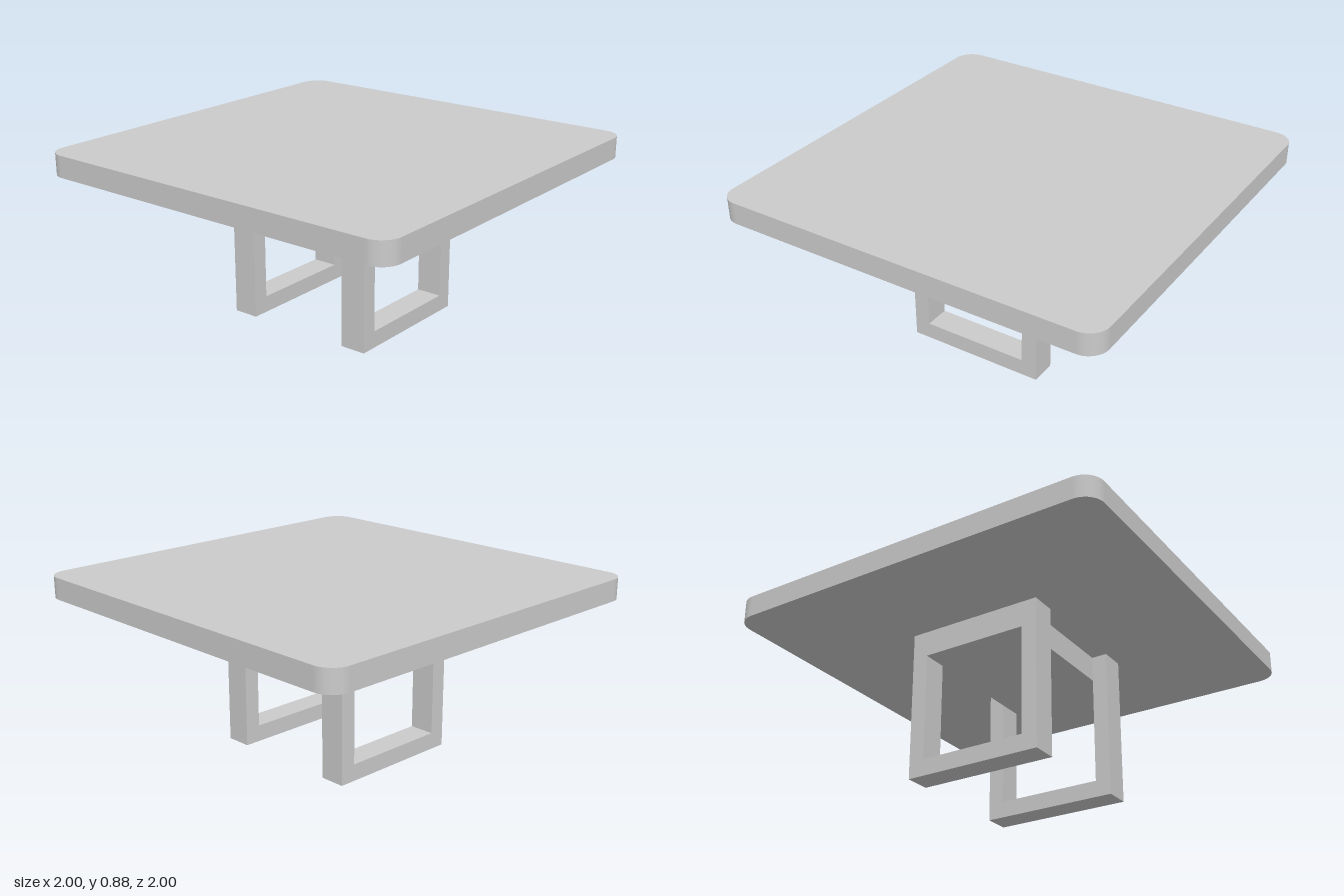
import * as THREE from 'three';

const TOP = 0.877, UNDER = 0.767;      // tabletop faces
const HALF = 0.356, HOLE = 0.275;      // leg frame half widths, outside and opening
const HOLE_LOW = 0.085, HOLE_HIGH = 0.635;
const Z_IN = 0.275, Z_OUT = 0.407;     // depth range of each leg frame

const material = new THREE.MeshStandardMaterial({ color: 0xcccccc, flatShading: true });

function addMesh(group, name, geometry) {
  const mesh = new THREE.Mesh(geometry, material);
  mesh.name = name;
  group.add(mesh);
  return mesh;
}

// Square outline with rounded corners, centred on the origin
function roundedSquare(h, r) {
  const s = new THREE.Shape();
  s.absarc(h - r, h - r, r, 0, Math.PI / 2);
  s.absarc(r - h, h - r, r, Math.PI / 2, Math.PI);
  s.absarc(r - h, r - h, r, Math.PI, Math.PI * 1.5);
  s.absarc(h - r, r - h, r, Math.PI * 1.5, Math.PI * 2);
  s.closePath();
  return s;
}

// Rectangle corners, used for the frame outline and its opening
function rectangle(half, low, high) {
  return [[-half, low], [half, low], [half, high], [-half, high]]
    .map(([x, y]) => new THREE.Vector2(x, y));
}

export function createModel() {
  const table = new THREE.Group();
  table.name = 'table';

  // Tabletop slab
  const slab = new THREE.ExtrudeGeometry(roundedSquare(1, 0.1), {
    depth: TOP - UNDER, bevelEnabled: false, curveSegments: 8,
  });
  slab.rotateX(-Math.PI / 2).translate(0, UNDER, 0);
  addMesh(table, 'tabletop', slab);

  // Two open leg frames, front and back
  const outline = new THREE.Shape(rectangle(HALF, 0, UNDER));
  outline.holes.push(new THREE.Path(rectangle(HOLE, HOLE_LOW, HOLE_HIGH)));
  const frame = new THREE.ExtrudeGeometry(outline, { depth: Z_OUT - Z_IN, bevelEnabled: false });
  addMesh(table, 'frontLegFrame', frame).position.z = Z_IN;
  addMesh(table, 'backLegFrame', frame).position.z = -Z_OUT;

  // Solid block under the top, joining the frames
  const block = new THREE.BoxGeometry(HOLE * 2, UNDER - HOLE_HIGH, Z_IN * 2);
  addMesh(table, 'connectingBlock', block).position.y = (UNDER + HOLE_HIGH) / 2;

  return table;
}
